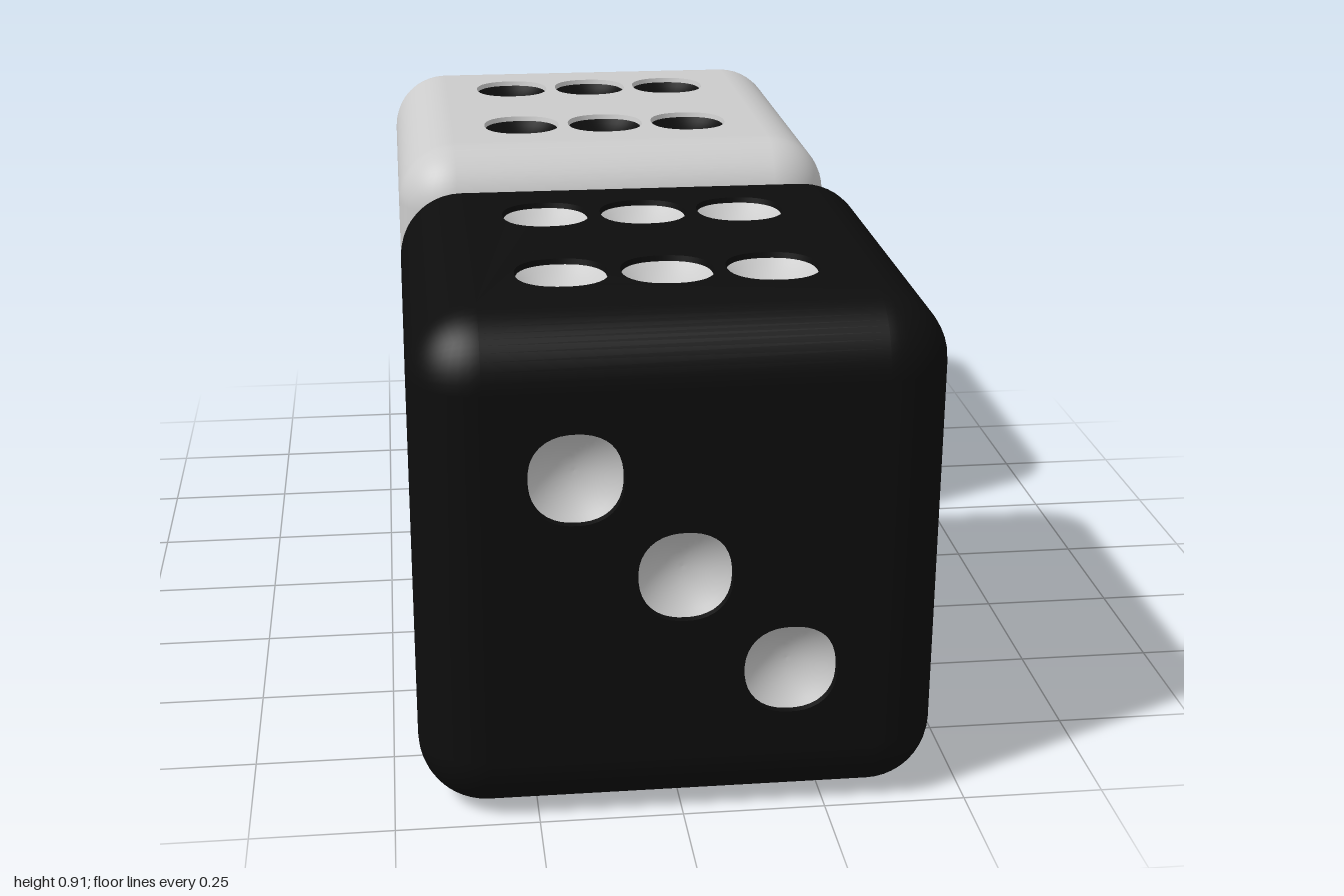
import * as THREE from 'three';
import { mergeGeometries } from 'three/addons/utils/BufferGeometryUtils.js';
import { RoundedBoxGeometry } from 'three/addons/geometries/RoundedBoxGeometry.js';

const SIZE = 0.91, HALF = SIZE / 2, ROUND = 0.12;
const STEP = 0.183, PIP_R = 0.079, RIM_R = 0.081, RIM_DEPTH = 0.01, DISH_DEPTH = 0.035;
const SIDES = 40;

// Pip positions in steps on each face, and the turn that takes +z to that face
const FACES = [
  { turn: [0, 0], pips: [[-1, 1], [0, 0], [1, -1]] },                               // front: 3
  { turn: [0, Math.PI], pips: [[-1, 1], [1, 1], [0, 0], [-1, -1], [1, -1]] },       // back: 5
  { turn: [0, Math.PI / 2], pips: [[-1, 1], [1, -1]] },                             // +x: 2
  { turn: [0, -Math.PI / 2], pips: [[-1, 1], [1, 1], [-1, -1], [1, -1]] },          // -x: 4
  { turn: [-Math.PI / 2, 0], pips: [[-1, 1], [0, 1], [1, 1], [-1, -1], [0, -1], [1, -1]] }, // top: 6
  { turn: [Math.PI / 2, 0], pips: [[0, 0]] },                                       // bottom: 1
];

// Slightly squared circle: factor on the radius for a direction
function squarish(x, y) {
  const l = Math.hypot(x, y);
  if (l < 1e-9) return 1;
  const n = 2.3;
  return Math.pow(Math.abs(x / l) ** n + Math.abs(y / l) ** n, -1 / n);
}

// Lathe from [radius, height] points, squared a little and turned to face +z
function recess(profile) {
  const g = new THREE.LatheGeometry(profile.map(([r, h]) => new THREE.Vector2(r, h)), SIDES);
  const p = g.attributes.position;
  for (let i = 0; i < p.count; i++) {
    const x = p.getX(i), z = p.getZ(i), f = squarish(x, z);
    p.setXYZ(i, x * f, p.getY(i), z * f);
  }
  return g.rotateX(Math.PI / 2).toNonIndexed();
}

// Rounded edges and corners only: the flat middle of each side is left out
function roundedFrame() {
  const box = new RoundedBoxGeometry(SIZE, SIZE, SIZE, 6, ROUND);
  const n = box.attributes.normal.array;
  const keep = [];
  for (let t = 0; t < n.length / 9; t++) {
    const flat = [0, 1, 2].some(a => [0, 1, 2].every(v => Math.abs(n[t * 9 + v * 3 + a]) > 0.999));
    if (!flat) keep.push(t * 3, t * 3 + 1, t * 3 + 2);
  }
  box.clearGroups();
  box.setIndex(keep);
  return box.toNonIndexed();
}

// Flat side with an opening for each pip
function flatSide(pips) {
  const e = HALF - ROUND;
  const shape = new THREE.Shape([[-e, -e], [e, -e], [e, e], [-e, e]].map(c => new THREE.Vector2(...c)));
  for (const [u, v] of pips) {
    const ring = [];
    for (let i = 0; i < SIDES; i++) {
      const a = -i / SIDES * Math.PI * 2, x = Math.cos(a), y = Math.sin(a);
      const r = RIM_R * squarish(x, y);
      ring.push(new THREE.Vector2(u * STEP + x * r, v * STEP + y * r));
    }
    shape.holes.push(new THREE.Path(ring));
  }
  return new THREE.ShapeGeometry(shape).translate(0, 0, HALF).toNonIndexed();
}

function createDie(name, bodyColor, pipColor) {
  const rim = recess([[RIM_R, 0], [PIP_R, -RIM_DEPTH]]);
  const dishProfile = [];
  for (let i = 0; i <= 8; i++) {
    const t = 1 - i / 8;
    dishProfile.push([PIP_R * t, -RIM_DEPTH - DISH_DEPTH * (1 - t * t)]);
  }
  const dish = recess(dishProfile);

  const body = [roundedFrame()], dishes = [];
  for (const { turn, pips } of FACES) {
    const place = g => g.rotateX(turn[0]).rotateY(turn[1]);
    body.push(place(flatSide(pips)));
    for (const [u, v] of pips) {
      body.push(place(rim.clone().translate(u * STEP, v * STEP, HALF)));
      dishes.push(place(dish.clone().translate(u * STEP, v * STEP, HALF)));
    }
  }

  const die = new THREE.Group();
  die.name = name;
  for (const [part, parts, color] of [['body', body, bodyColor], ['pips', dishes, pipColor]]) {
    const mesh = new THREE.Mesh(mergeGeometries(parts), new THREE.MeshStandardMaterial({ color }));
    mesh.name = part;
    die.add(mesh);
  }
  return die;
}

export function createModel() {
  const model = new THREE.Group();
  model.name = 'pairOfDice';
  const dark = createDie('darkDie', 0x0d0d0d, 0xcccccc);
  const light = createDie('lightDie', 0xcccccc, 0x0d0d0d);
  dark.position.set(0, HALF, 1 - HALF);
  light.position.set(0, HALF, HALF - 1);
  model.add(dark, light);
  return model;
}
